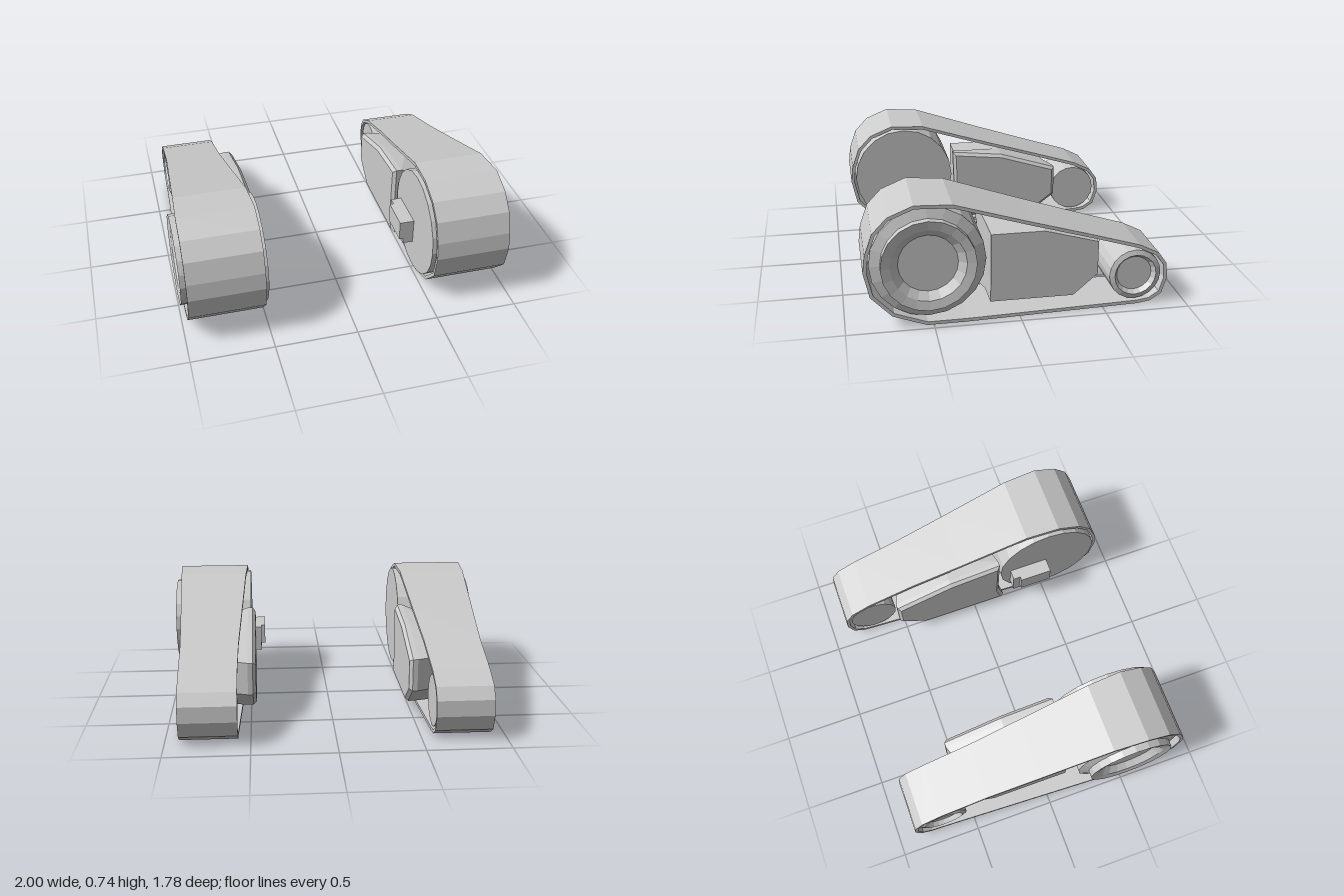
import * as THREE from 'three';

const material = new THREE.MeshStandardMaterial({ color: 0xcccccc, flatShading: true });

// Closed side profiles as [z, y], running front-top, back, bottom, front
const BELT = [
  [0.6, 0.735], [0.385, 0.722], [-0.065, 0.578], [-0.4, 0.475], [-0.71, 0.38], [-0.83, 0.32], [-0.88, 0.25],
  [-0.888, 0.155], [-0.858, 0.06], [-0.79, 0.015], [-0.71, 0.003], [0.31, 0], [0.54, 0.006],
  [0.735, 0.08], [0.855, 0.205], [0.888, 0.355], [0.875, 0.46], [0.83, 0.585], [0.745, 0.675],
];
const BLOCK_WIDE = [
  [0.185, 0.54], [-0.16, 0.505], [-0.537, 0.39], [-0.537, 0.19], [-0.37, 0.062], [0.21, 0.062], [0.175, 0.19],
];
const BLOCK_NARROW = [
  [0.155, 0.485], [-0.16, 0.485], [-0.48, 0.395], [-0.48, 0.19], [-0.335, 0.064], [0.16, 0.064], [0.155, 0.19],
];

// Moves every corner of a profile inwards by distance d
function inset(profile, d) {
  const n = profile.length;
  return profile.map(([z, y], i) => {
    const p = profile[(i + n - 1) % n], q = profile[(i + 1) % n];
    const a = new THREE.Vector2(p[1] - y, z - p[0]).normalize();
    const b = new THREE.Vector2(y - q[1], q[0] - z).normalize();
    const m = a.clone().add(b).normalize();
    m.multiplyScalar(d / m.dot(a));
    return [z + m.x, y + m.y];
  });
}

// Skins a row of rings; either joins the last to the first or caps both ends
function loft(rings, loop) {
  const n = rings[0].length, index = [];
  const count = loop ? rings.length : rings.length - 1;
  for (let i = 0; i < count; i++) {
    const r = i * n, s = ((i + 1) % rings.length) * n;
    for (let j = 0; j < n; j++) {
      const k = (j + 1) % n;
      index.push(r + j, s + j, s + k, r + j, s + k, r + k);
    }
  }
  if (!loop) {
    for (const [ringNo, side] of [[0, -1], [rings.length - 1, 1]]) {
      const ring = rings[ringNo], base = ringNo * n;
      const flat = ring.map((v) => new THREE.Vector2(v.z, v.y));
      for (const [a, b, c] of THREE.ShapeUtils.triangulateShape(flat, [])) {
        const normal = ring[b].clone().sub(ring[a]).cross(ring[c].clone().sub(ring[a]));
        if (normal.x * side > 0) index.push(base + a, base + b, base + c);
        else index.push(base + a, base + c, base + b);
      }
    }
  }
  const g = new THREE.BufferGeometry().setFromPoints(rings.flat());
  g.setIndex(index);
  return g;
}

// Faceted wheel turned about the x axis from [radius, x] points
function wheelGeometry(points, sides, y, z) {
  const g = new THREE.LatheGeometry(points.map(([r, x]) => new THREE.Vector2(r, x)), sides);
  return g.rotateZ(-Math.PI / 2).translate(0, y, z);
}

// Belt is wide at the front and narrows towards the back
function beltGeometry() {
  const ring = (profile, side) => profile.map(([z, y]) => {
    const t = THREE.MathUtils.clamp((z + 0.5) / 1.1, 0, 1);
    return new THREE.Vector3(0.744 + side * (0.171 + 0.057 * t), y, z);
  });
  const inner = inset(BELT, 0.02);
  return loft([ring(BELT, -1), ring(BELT, 1), ring(inner, 1), ring(inner, -1)], true);
}

// Block with a chamfered inner face and a tapered outer half
function blockGeometry() {
  const at = (profile, x) => profile.map(([z, y]) => new THREE.Vector3(x, y, z));
  return loft([
    at(inset(BLOCK_WIDE, 0.02), 0.465), at(BLOCK_WIDE, 0.485), at(BLOCK_WIDE, 0.515),
    at(BLOCK_NARROW, 0.68), at(BLOCK_NARROW, 0.86),
  ], false);
}

function boxGeometry(x0, x1, y0, y1, z0, z1) {
  return new THREE.BoxGeometry(x1 - x0, y1 - y0, z1 - z0)
    .translate((x0 + x1) / 2, (y0 + y1) / 2, (z0 + z1) / 2);
}

// Reflects in x and turns the triangles back to face outwards
function mirrored(geometry) {
  const g = geometry.clone().scale(-1, 1, 1), ix = g.index;
  for (let i = 0; i < ix.count; i += 3) {
    const a = ix.getX(i);
    ix.setX(i, ix.getX(i + 1));
    ix.setX(i + 1, a);
  }
  return g;
}

export function createModel() {
  const model = new THREE.Group();
  const frontWheel = [
    [0, 0.495], [0.33, 0.495], [0.33, 0.935], [0.27, 0.955], [0.27, 1], [0.215, 0.99], [0.17, 0.95], [0, 0.95],
  ];
  const rearWheel = [
    [0, 0.58], [0.155, 0.58], [0.155, 0.9], [0.125, 0.91], [0.105, 0.88], [0, 0.88],
  ];
  const parts = {
    belt: beltGeometry(),
    frontWheel: wheelGeometry(frontWheel, 20, 0.38, 0.525),
    rearWheel: wheelGeometry(rearWheel, 20, 0.187, -0.695),
    centreBlock: blockGeometry(),
  };

  const add = (group, name, geometry) => {
    const g = geometry.toNonIndexed();
    g.computeVertexNormals();
    const mesh = new THREE.Mesh(g, material);
    mesh.name = name;
    group.add(mesh);
  };

  for (const side of ['left', 'right']) {
    const track = new THREE.Group();
    track.name = side + 'Track';
    for (const [name, g] of Object.entries(parts)) add(track, name, side === 'left' ? g : mirrored(g));
    model.add(track);
  }

  // Stepped bracket on the inner face of the left front wheel
  const bracket = new THREE.Group();
  bracket.name = 'bracket';
  add(bracket, 'bracketBase', boxGeometry(0.43, 0.5, 0.22, 0.38, 0.265, 0.52));
  add(bracket, 'bracketTip', boxGeometry(0.405, 0.43, 0.255, 0.38, 0.312, 0.52));
  model.getObjectByName('leftTrack').add(bracket);

  return model;
}
